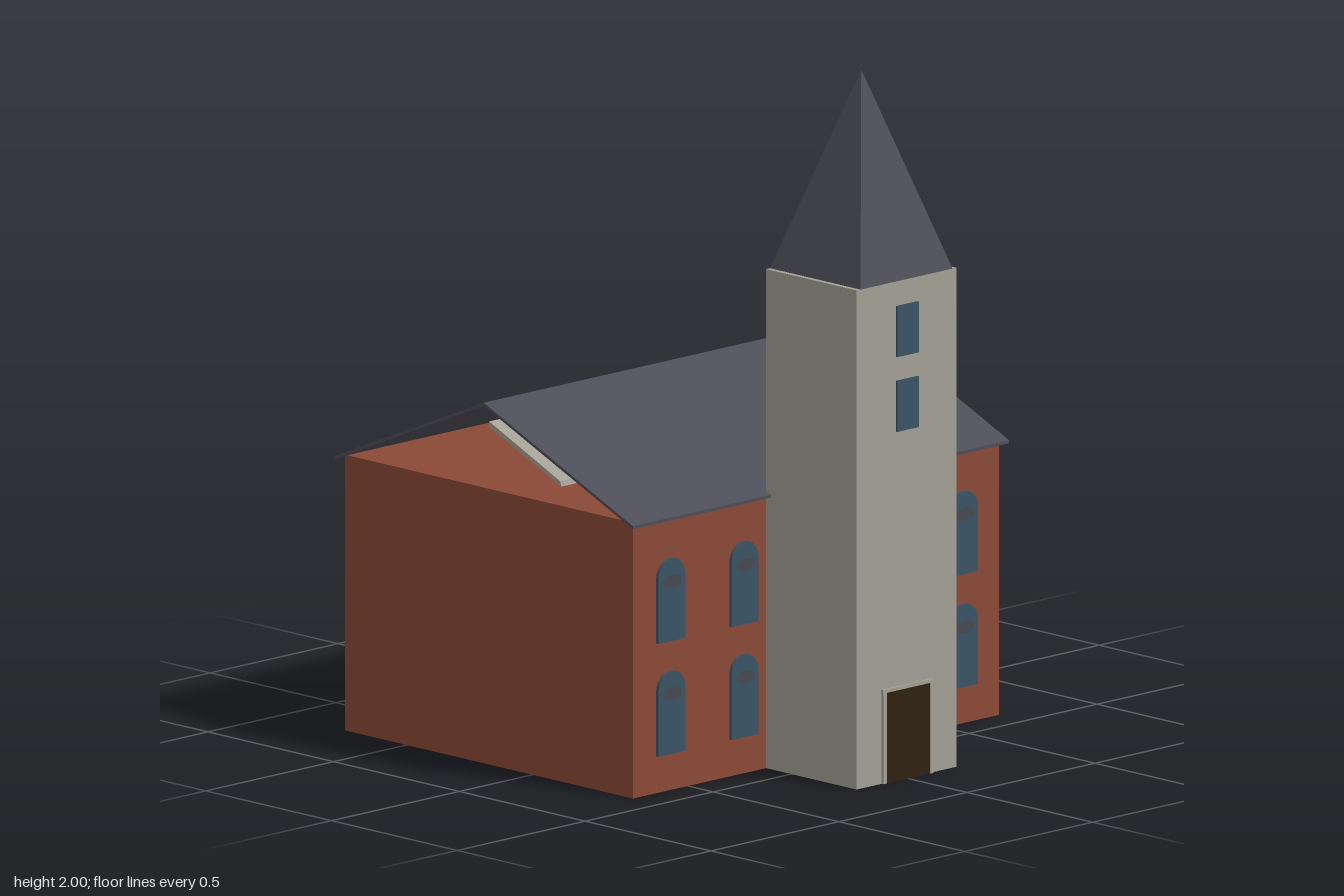
import * as THREE from 'three';

const mat = (name, color, extra = {}) => {
  const m = new THREE.MeshStandardMaterial({ color, ...extra });
  m.name = name;
  return m;
};

export function createModel() {
  const brick = mat('brick', 0x8c4936);
  const stone = mat('stone', 0xa3a095);
  const slate = mat('slate', 0x4e4e58, { flatShading: true });
  const glass = mat('glass', 0x3b5465);
  const shade = mat('windowShade', 0x474951);
  const timber = mat('darkTimber', 0x2e210f);

  const model = new THREE.Group();
  const add = (name, geometry, material, x = 0, y = 0, z = 0) => {
    const mesh = new THREE.Mesh(geometry, material);
    mesh.name = name;
    mesh.position.set(x, y, z);
    model.add(mesh);
    return mesh;
  };
  // Box given by its limits
  const box = (name, material, x0, x1, y0, y1, z0, z1) =>
    add(name, new THREE.BoxGeometry(x1 - x0, y1 - y0, z1 - z0), material,
      (x0 + x1) / 2, (y0 + y1) / 2, (z0 + z1) / 2);
  // Profile of [z, y] points, extruded across the width of the building
  const span = (name, material, points, width) => {
    const shape = new THREE.Shape(points.map(([z, y]) => new THREE.Vector2(z, y)));
    const g = new THREE.ExtrudeGeometry(shape, { depth: width, bevelEnabled: false });
    g.translate(0, 0, -width / 2).rotateY(-Math.PI / 2);
    return add(name, g, material);
  };

  // Main hall and tower, each with a darker underside
  box('hall', [brick, brick, brick, timber, brick, brick], -0.715, 0.715, 0, 0.79, -0.745, 0.4);
  box('tower', [stone, stone, stone, slate, stone, stone], -0.195, 0.195, 0, 1.43, 0.4, 0.76);

  // Thin gable roof with open ends
  const t = 0.009;
  span('roof', slate, [
    [0.42, 0.778], [0.42, 0.778 + t], [-0.173, 1.04], [-0.765, 0.778 + t],
    [-0.765, 0.778], [-0.173, 1.04 - t],
  ], 1.47);
  // Sloping beam slab below the front roof slope
  span('roofSlab', stone, [[0.115, 0.845], [0.11, 0.86], [-0.172, 0.983], [-0.172, 0.967]], 1.43);

  // Four-sided spire
  const spire = new THREE.ConeGeometry(0.18 * Math.SQRT2, 0.57, 4);
  spire.rotateY(Math.PI / 4);
  add('spire', spire, slate, 0, 1.715, 0.58);

  // Arched hall windows, two rows of four
  const r = 0.0525;
  const arch = new THREE.Shape();
  arch.moveTo(-r, 0);
  arch.lineTo(r, 0);
  arch.lineTo(r, 0.185);
  arch.absarc(0, 0.185, r, 0, Math.PI);
  arch.closePath();
  const archGeo = new THREE.ExtrudeGeometry(arch, { depth: 0.009, bevelEnabled: false, curveSegments: 10 });
  const lens = new THREE.Shape();
  lens.absellipse(0, 0, 0.037, 0.018, 0, Math.PI * 2);
  const lensGeo = new THREE.ShapeGeometry(lens, 10);
  for (const y of [0.106, 0.429]) {
    for (const x of [-0.572, -0.286, 0.286, 0.572]) {
      add('archedWindow', archGeo, glass, x, y, 0.4);
      add('windowShade', lensGeo, shade, x, y + 0.172, 0.4105);
    }
  }

  // Tower windows
  for (const y of [1.0, 1.214]) box('towerWindow', glass, -0.042, 0.042, y, y + 0.146, 0.758, 0.766);

  // Door and its stone surround
  box('door', timber, -0.085, 0.085, 0, 0.26, 0.758, 0.766);
  for (const s of [-1, 1]) {
    box('doorJamb', stone, s * 0.091 - 0.006, s * 0.091 + 0.006, 0, 0.26, 0.758, 0.768);
  }
  box('doorLintel', stone, -0.1, 0.1, 0.26, 0.27, 0.758, 0.768);

  return model;
}
